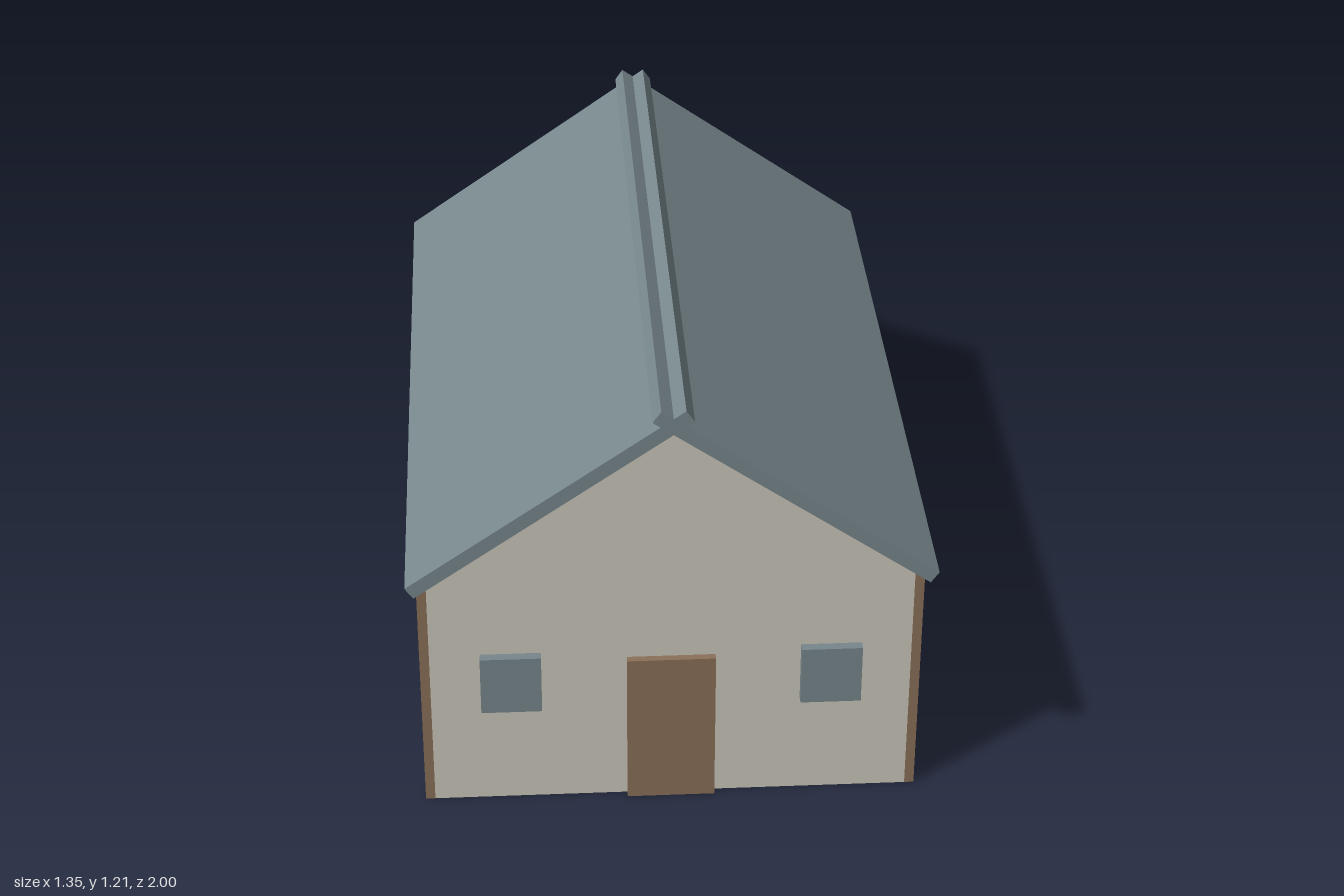
import * as THREE from 'three';

const wallMat = new THREE.MeshStandardMaterial({ color: 0xcdc9bc });
const woodMat = new THREE.MeshStandardMaterial({ color: 0x8b7059 });
const slateMat = new THREE.MeshStandardMaterial({ color: 0x78878d });

export function createModel() {
  const house = new THREE.Group();
  house.name = 'house';

  function addBox(name, material, size, position) {
    const mesh = new THREE.Mesh(new THREE.BoxGeometry(...size), material);
    mesh.name = name;
    mesh.position.set(...position);
    house.add(mesh);
    return mesh;
  }

  // Walls: one gabled outline extruded along the length, tops tucked into the roof
  const halfLength = 0.937;
  const outline = new THREE.Shape();
  outline.moveTo(-0.625, 0);
  outline.lineTo(0.625, 0);
  outline.lineTo(0.625, 0.72);
  outline.lineTo(0, 1.16);
  outline.lineTo(-0.625, 0.72);
  outline.closePath();
  const wallGeometry = new THREE.ExtrudeGeometry(outline, { depth: halfLength * 2, bevelEnabled: false });
  wallGeometry.translate(0, 0, -halfLength);
  const walls = new THREE.Mesh(wallGeometry, wallMat);
  walls.name = 'walls';
  house.add(walls);

  for (const side of [1, -1]) {
    const label = side > 0 ? 'left' : 'right';

    // Roof slabs cross each other at the ridge
    const slab = addBox(label + 'RoofSlab', slateMat, [0.864, 0.037, 2], [side * 0.312, 0.95, 0]);
    slab.rotation.z = -side * THREE.MathUtils.degToRad(35.1);

    // Timber posts along the side wall, end posts flush with the gables
    for (const [place, z] of [['Front', 0.918], ['Middle', 0], ['Back', -0.918]]) {
      addBox(label + place + 'Post', woodMat, [0.025, 0.695, 0.038], [side * 0.6375, 0.3475, z]);
    }

    // Front windows
    addBox(label + 'Window', slateMat, [0.158, 0.168, 0.027], [side * 0.416, 0.378, 0.949]);
  }

  // Front door
  addBox('door', woodMat, [0.23, 0.44, 0.022], [0, 0.22, 0.946]);

  return house;
}
